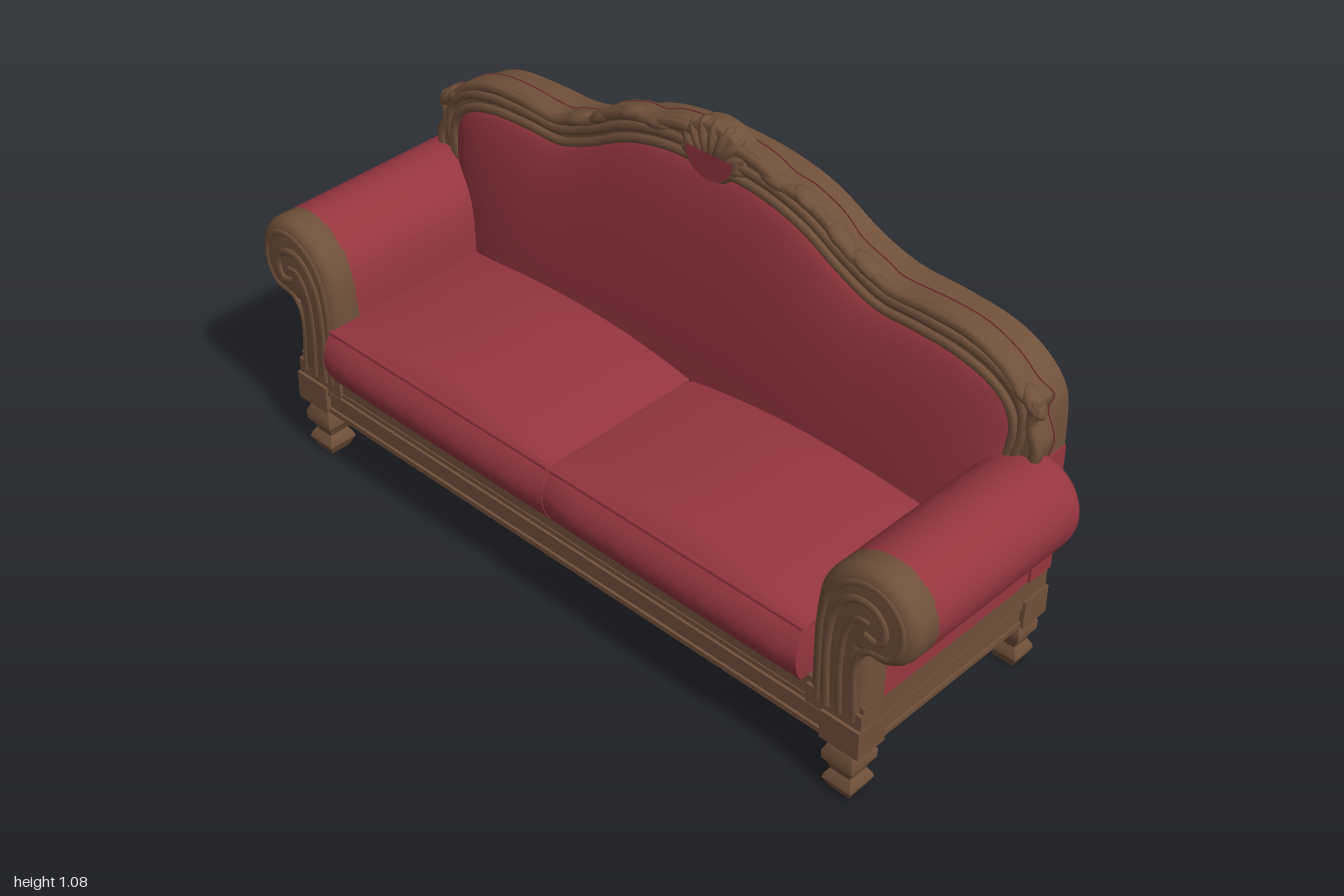
import * as THREE from 'three';
import { toCreasedNormals } from 'three/addons/utils/BufferGeometryUtils.js';

const wood = new THREE.MeshStandardMaterial({ color: 0x70503a });
wood.name = 'brown wood';
const red = new THREE.MeshStandardMaterial({ color: 0x96363f });
red.name = 'red upholstery';
const redDouble = new THREE.MeshStandardMaterial({ color: 0x96363f, side: THREE.DoubleSide });
redDouble.name = 'red upholstery';

const V2 = (p) => new THREE.Vector2(p[0], p[1]);

export function createModel() {
  const group = new THREE.Group();
  const add = (name, geo, mat) => {
    const m = new THREE.Mesh(geo, mat);
    m.name = name;
    group.add(m);
    return m;
  };
  // Box given by its limits on each axis
  const box = (name, mat, x0, x1, y0, y1, z0, z1) =>
    add(name, new THREE.BoxGeometry(x1 - x0, y1 - y0, z1 - z0), mat)
      .position.set((x0 + x1) / 2, (y0 + y1) / 2, (z0 + z1) / 2);
  // Extrusion between two z limits, with the bevel kept inside the outline
  const extrude = (name, shape, z0, z1, bevel, mats) => {
    const geo = new THREE.ExtrudeGeometry(shape, {
      depth: z1 - z0 - 2 * bevel, bevelEnabled: bevel > 0, bevelSize: bevel,
      bevelThickness: bevel, bevelOffset: -bevel, bevelSegments: 4, curveSegments: 8,
    });
    geo.translate(0, 0, z0 + bevel);
    return add(name, toCreasedNormals(geo, 0.6), mats);
  };
  const tube = (name, pts, z, r, mat) => {
    const curve = new THREE.CatmullRomCurve3(pts.map((p) => new THREE.Vector3(p[0], p[1], z)));
    return add(name, new THREE.TubeGeometry(curve, pts.length * 5, r, 6), mat);
  };
  // Right half listed from the bottom to the centre, mirrored to a full arch
  const arch = (half) => [...half, ...half.slice(0, -1).reverse().map(([x, y]) => [-x, y])];
  const smooth = (pts, n) => new THREE.SplineCurve(pts.map(V2)).getPoints(n);

  // Base rail with corner blocks and mouldings
  box('baseRail', wood, -0.875, 0.875, 0.147, 0.222, -0.325, 0.283);
  box('upperRail', wood, -0.882, 0.882, 0.215, 0.277, -0.335, 0.28);
  for (const [y0, y1] of [[0.147, 0.16], [0.198, 0.21]]) {
    box('railMoulding', wood, -0.881, 0.881, y0, y1, -0.331, 0.29);
  }

  // Turned square legs, each under a corner block
  const legProfile = [[0, 0], [0.026, 0], [0.039, 0.028], [0.036, 0.04], [0.027, 0.055], [0.031, 0.07],
    [0.041, 0.085], [0.042, 0.108], [0.032, 0.13], [0.034, 0.15]].map(([r, y]) => V2([r * Math.SQRT2, y]));
  for (const s of [-1, 1]) {
    for (const [z, k, z0, z1] of [[0.25, 1, 0.21, 0.296], [-0.304, 0.84, -0.34, -0.258]]) {
      let leg = new THREE.LatheGeometry(legProfile, 4, Math.PI / 4).toNonIndexed();
      leg.scale(1, 1, k);
      leg = toCreasedNormals(leg, 0.5);
      add(z > 0 ? 'frontLeg' : 'backLeg', leg, wood).position.set(s * 0.83, 0, z);
      box('cornerBlock', wood, s * 0.835 - 0.052, s * 0.835 + 0.052, 0.145, 0.22, z0, z1);
    }
  }

  // Rolled arms: red behind, wooden scroll in front
  const roll = smooth([[0.878, 0.42], [0.93, 0.42], [0.98, 0.46], [1, 0.53], [0.98, 0.593], [0.935, 0.632],
    [0.88, 0.643], [0.82, 0.625], [0.77, 0.58], [0.745, 0.52], [0.735, 0.42]], 36).map((p) => [p.x, p.y]);
  const armShape = (s, y) => new THREE.Shape(
    [[0.885, y], [0.883, 0.34], ...roll, [0.735, y]].map(([x, py]) => V2([s * x, py])));
  const scroll = [[0.79, 0.235], [0.785, 0.4], [0.8, 0.5], [0.845, 0.56], [0.9, 0.56], [0.928, 0.52],
    [0.912, 0.48], [0.878, 0.485]];
  const innerScroll = [[0.825, 0.235], [0.82, 0.38], [0.832, 0.47], [0.862, 0.515], [0.89, 0.515]];
  const rim = [[0.862, 0.235], [0.858, 0.4], [0.885, 0.442], [0.94, 0.455], [0.968, 0.5], [0.96, 0.565],
    [0.915, 0.605], [0.86, 0.605], [0.805, 0.57], [0.772, 0.5], [0.765, 0.235]];
  for (const s of [-1, 1]) {
    extrude('armRoll', armShape(s, 0.275), -0.265, 0.245, 0.03, red);
    extrude('armScrollPost', armShape(s, 0.22), 0.18, 0.288, 0.032, wood);
    const flip = (pts) => pts.map(([x, y]) => [s * x, y]);
    tube('scrollRidge', flip(scroll), 0.284, 0.011, wood);
    tube('innerScrollRidge', flip(innerScroll), 0.284, 0.009, wood);
    tube('scrollRim', flip(rim), 0.282, 0.01, wood);
    const x = s * 0.842;
    box('sidePanel', red, x - 0.041, x + 0.041, 0.275, 0.42, -0.3, 0.2);
    box('postFoot', wood, s * 0.81 - 0.074, s * 0.81 + 0.074, 0.21, 0.26, 0.215, 0.288);
  }

  // Back panel: red faces with a wooden edge, red again low on the sides
  const panelTop = smooth(arch([[0.885, 0.66], [0.875, 0.75], [0.82, 0.815], [0.73, 0.855], [0.6, 0.868],
    [0.48, 0.872], [0.37, 0.905], [0.25, 0.965], [0.13, 0.993], [0, 1.0]]), 72);
  const panel = new THREE.Shape([V2([-0.885, 0.275]), V2([0.885, 0.275]), ...panelTop]);
  extrude('backPanel', panel, -0.336, -0.262, 0, [red, wood]);
  for (const s of [-1, 1]) {
    box('backPanelSide', red, s * 0.886 - 0.003, s * 0.886 + 0.003, 0.277, 0.61, -0.336, -0.262);
  }

  // Carved frame around the backrest
  const outerHalf = [[0.87, 0.45], [0.895, 0.62], [0.905, 0.68], [0.882, 0.74], [0.892, 0.785], [0.85, 0.805],
    [0.8, 0.845], [0.72, 0.878], [0.62, 0.886], [0.5, 0.882], [0.45, 0.9], [0.38, 0.925], [0.33, 0.965],
    [0.25, 0.998], [0.19, 1.005], [0.12, 1.03], [0, 1.04]];
  const innerHalf = [[0.77, 0.45], [0.82, 0.6], [0.838, 0.69], [0.82, 0.745], [0.77, 0.785], [0.685, 0.81],
    [0.57, 0.818], [0.47, 0.82], [0.37, 0.86], [0.257, 0.92], [0.13, 0.953], [0, 0.955]];
  const outer = smooth(arch(outerHalf), 110);
  const inner = smooth(arch(innerHalf), 90);
  extrude('backFrame', new THREE.Shape([...outer, ...inner.slice().reverse()]), -0.266, -0.21, 0.008, wood);
  const backFace = new THREE.Shape([...outer, ...inner.slice().reverse()]);
  extrude('frameBackCovering', backFace, -0.268, -0.265, 0, [red, wood]);
  const shifted = (half, d) => arch(half.map(([x, y]) => [x * (1 + d * 0.8), y + d * Math.min(1, (y - 0.45) * 4)]));
  tube('innerFrameBead', shifted(innerHalf, 0.006), -0.208, 0.012, wood);
  tube('middleFrameBead', shifted(innerHalf, 0.034), -0.212, 0.013, wood);
  tube('outerFrameBead', shifted(outerHalf, -0.012), -0.216, 0.014, wood);

  // Carved leaves on the frame
  for (const s of [-1, 1]) {
    for (const [x, y, a, l] of [[0.872, 0.775, -0.9, 0.042], [0.845, 0.79, -0.6, 0.04], [0.43, 0.895, -0.45, 0.05],
      [0.35, 0.935, -0.6, 0.05], [0.26, 0.983, -0.4, 0.045], [0.17, 0.995, -0.2, 0.055]]) {
      const leaf = add('carvedLeaf', new THREE.SphereGeometry(1, 12, 8), wood);
      leaf.scale.set(l, 0.018, 0.026);
      leaf.position.set(s * x, y, -0.225);
      leaf.rotation.z = s * a;
    }
  }

  // Fluted shell crest with a curved lip and a red inset
  for (let i = -4; i <= 4; i++) {
    const a = i * 0.34;
    const len = 0.05 + 0.008 * Math.cos(a);
    const rib = add('shellRib', new THREE.SphereGeometry(1, 10, 10), wood);
    rib.scale.set(0.019, len, 0.03);
    rib.position.set(Math.sin(a) * len * 1.05, 0.965 + Math.cos(a) * len * 0.9, -0.222);
    rib.rotation.z = -a;
  }
  const fan = new THREE.Shape();
  fan.absellipse(0, 0.98, 0.1, 0.086, 0, Math.PI, false);
  extrude('shellBack', fan, -0.267, -0.205, 0.008, wood);
  const inset = add('crestInset', new THREE.CylinderGeometry(0.068, 0.068, 0.006, 24, 1, false, -Math.PI / 2, Math.PI), red);
  inset.rotation.x = Math.PI / 2;
  inset.position.set(0, 1.0, -0.196);
  const lip = add('crestLip', new THREE.TorusGeometry(0.07, 0.011, 8, 24, Math.PI), wood);
  lip.rotation.z = Math.PI;
  lip.position.set(0, 1.005, -0.204);

  // Padded backrest, swelling forward towards the seat
  const nx = 48, ny = 16;
  const topAt = (x) => {
    for (let i = 1; i < inner.length; i++) {
      const a = inner[i - 1], b = inner[i];
      if (a.y > 0.685 && b.x <= x && a.x >= x) return b.y + (a.y - b.y) * (x - b.x) / (a.x - b.x || 1);
    }
    return 0.69;
  };
  const pad = new THREE.PlaneGeometry(2, 1, nx, ny);
  const pp = pad.attributes.position;
  for (let i = 0; i < pp.count; i++) {
    const u = pp.getX(i), t = Math.sin((pp.getY(i) + 0.5) * Math.PI / 2);
    const x = Math.sin(u * Math.PI / 2) * 0.836;
    const edge = Math.sqrt(Math.max(0, 1 - Math.pow(Math.abs(x) / 0.84, 6)));
    pp.setXYZ(i, x, 0.38 + t * (topAt(x) - 0.375), -0.214 + 0.068 * Math.sqrt(Math.max(0, 1 - t * t)) * edge);
  }
  pad.computeVertexNormals();
  add('backrestPad', pad, redDouble);

  // Two domed seat cushions with piping
  for (const s of [-1, 1]) {
    const geo = new THREE.BoxGeometry(2, 2, 2, 16, 8, 20);
    const p = geo.attributes.position;
    for (let i = 0; i < p.count; i++) {
      const u = p.getX(i), v = p.getY(i), w = p.getZ(i);
      const dome = v > 0 ? 0.042 * v * (1 - u * u) * Math.sqrt(1 - Math.pow(w, 6)) : 0;
      const front = w > 0 ? 0.035 * w * (1 - v * v) * (1 - Math.pow(u, 12) * 0.3) : 0;
      p.setXYZ(i, s * 0.369 + u * (0.364 + 0.004 * (1 - v * v)), 0.346 + v * 0.071 + dome, 0.052 + w * 0.25 + front);
    }
    add('seatCushion', toCreasedNormals(geo.toNonIndexed(), 0.7), red);
    const piping = new THREE.LineCurve3(
      new THREE.Vector3(s * 0.369 - 0.364, 0.416, 0.301), new THREE.Vector3(s * 0.369 + 0.364, 0.416, 0.301));
    add('cushionPiping', new THREE.TubeGeometry(piping, 1, 0.007, 8), red);
  }
  return group;
}
